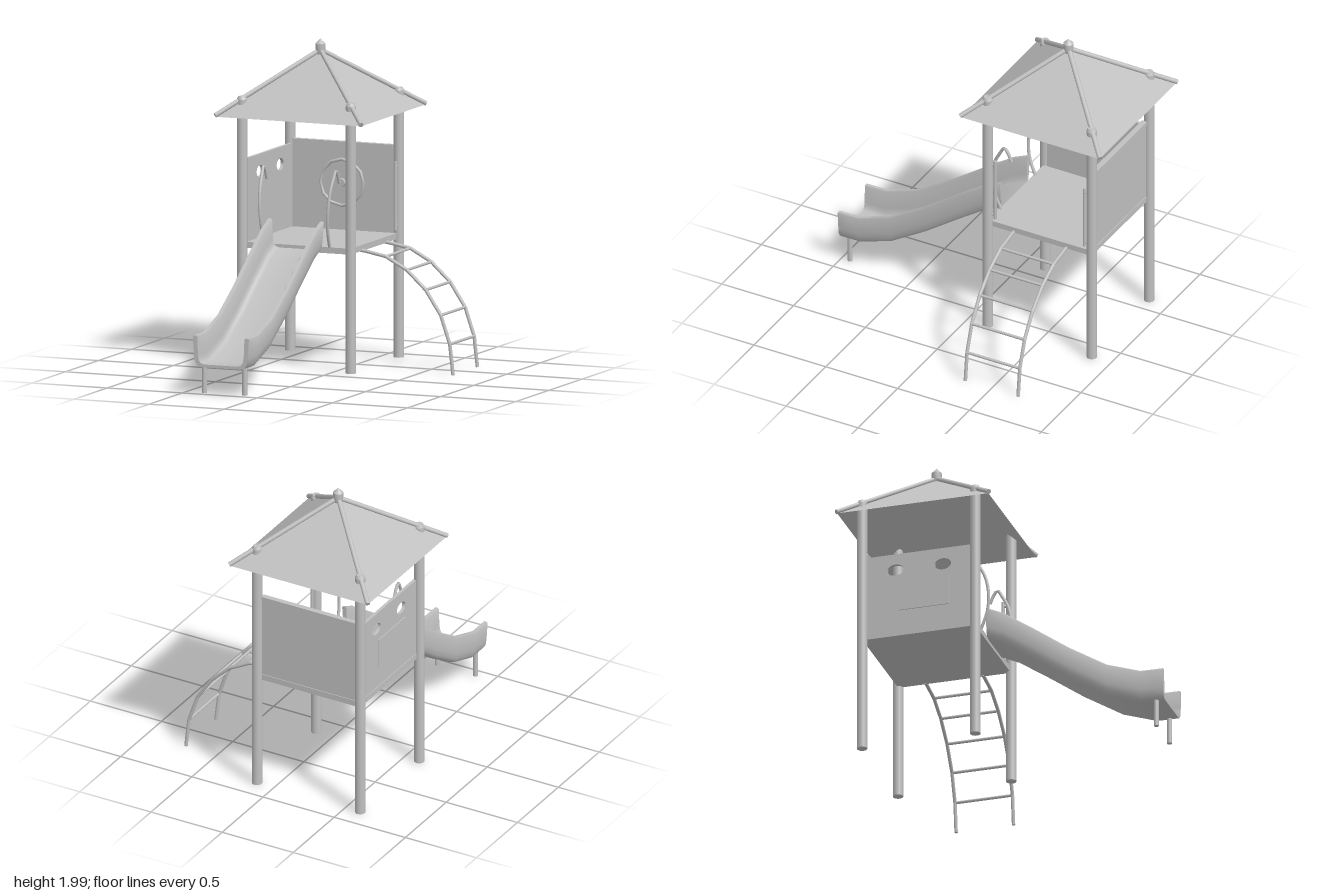
import * as THREE from 'three';
import { toCreasedNormals } from 'three/addons/utils/BufferGeometryUtils.js';

const V = (x, y, z) => new THREE.Vector3(x, y, z);

export function createModel() {
  const model = new THREE.Group();
  model.name = 'playTower';
  const grey = new THREE.MeshStandardMaterial({ color: 0xc0c0c0 });
  grey.name = 'paleGrey';
  const greySheet = grey.clone();
  greySheet.name = 'paleGreySheet';
  greySheet.side = THREE.DoubleSide;

  const CX = -0.243, CZ = -0.503, POST = 0.362;

  function add(name, geometry, x = 0, y = 0, z = 0, material = grey) {
    const mesh = new THREE.Mesh(geometry, material);
    mesh.name = name;
    mesh.position.set(x, y, z);
    model.add(mesh);
    return mesh;
  }
  const box = (name, w, h, d, x, y, z) => add(name, new THREE.BoxGeometry(w, h, d), x, y, z);

  // Round bar between two points
  function bar(name, a, b, r, sides = 10) {
    const dir = b.clone().sub(a);
    const mid = a.clone().add(b).multiplyScalar(0.5);
    const mesh = add(name, new THREE.CylinderGeometry(r, r, dir.length(), sides), mid.x, mid.y, mid.z);
    mesh.quaternion.setFromUnitVectors(V(0, 1, 0), dir.normalize());
    return mesh;
  }

  // Four posts and the hip poles of the roof
  const EAVE = 1.545, APEX = 1.915, HALF = 0.483;
  for (const sx of [-1, 1]) for (const sz of [-1, 1]) {
    const x = CX + sx * POST, z = CZ + sz * POST;
    bar('post', V(x, 0, z), V(x, 1.645, z), 0.032, 20);
    add('postCap', new THREE.CylinderGeometry(0.024, 0.032, 0.018, 20), x, 1.654, z);
    bar('roofHipPole', V(CX + sx * (HALF + 0.004), EAVE + 0.009, CZ + sz * (HALF + 0.004)),
      V(CX, APEX + 0.008, CZ), 0.015);
  }

  // Pyramid roof, open underneath
  const roof = new THREE.ConeGeometry(HALF * Math.SQRT2, APEX - EAVE, 4, 1, true, Math.PI / 4).toNonIndexed();
  roof.computeVertexNormals();
  add('roof', roof, CX, (APEX + EAVE) / 2, CZ, greySheet);

  // Finial
  const finial = [[0, 1.895], [0.026, 1.895], [0.031, 1.925], [0.031, 1.96], [0.012, 1.978], [0, 1.992]]
    .map(([r, y]) => new THREE.Vector2(r, y));
  add('finial', toCreasedNormals(new THREE.LatheGeometry(finial, 16), 0.5), CX, 0, CZ);

  // Deck
  box('deck', 0.72, 0.037, 0.72, CX, 0.748, CZ);

  // Back wall with its top rail
  box('backWall', 0.67, 0.52, 0.02, CX, 1.026, CZ - 0.345);
  box('backWallRail', 0.67, 0.025, 0.035, CX, 1.298, CZ - 0.345);

  // Side wall with two oval peepholes; shape x runs towards the back
  const wall = new THREE.Shape([[-0.335, 0.766], [0.335, 0.766], [0.335, 1.28], [-0.335, 1.28]]
    .map(([x, y]) => new THREE.Vector2(x, y)));
  for (const s of [-1, 1]) {
    const hole = new THREE.Path();
    hole.absellipse(s * 0.151, 1.174, 0.053, 0.037, 0, Math.PI * 2, true);
    wall.holes.push(hole);
  }
  const sideWall = add('sideWall', new THREE.ExtrudeGeometry(wall,
    { depth: 0.02, bevelEnabled: false, curveSegments: 16 }), CX - 0.355, 0, CZ);
  sideWall.rotation.y = Math.PI / 2;
  box('sideWallPlate', 0.008, 0.19, 0.32, CX - 0.357, 0.995, -0.47);

  // Play wheel on the inside of the back wall
  const disc = (name, r, depth, z, sides) => {
    const d = add(name, new THREE.CylinderGeometry(r, r, depth, sides), CX, 1.06, z);
    d.rotation.x = Math.PI / 2;
  };
  disc('wheelDisc', 0.145, 0.014, -0.831, 12);
  disc('wheelHub', 0.027, 0.03, -0.815, 14);
  add('wheelRim', new THREE.TorusGeometry(0.143, 0.01, 8, 12), CX, 1.06, -0.825);

  // Curved grab handles on the slide side
  for (const s of [-1, 1]) {
    const path = [[0.215, 0.76, -0.155], [0.221, 0.88, -0.11], [0.228, 1.0, -0.1], [0.233, 1.11, -0.12],
      [0.238, 1.19, -0.16], [0.241, 1.235, -0.19], [0.241, 1.215, -0.21], [0.241, 1.15, -0.24]]
      .map(([x, y, z]) => V(CX + s * x, y, z));
    add('grabHandle', new THREE.TubeGeometry(new THREE.CatmullRomCurve3(path), 28, 0.01, 8));
  }

  // Straight grab bars on the ladder side
  for (const z of [-0.193, -0.815]) {
    bar('ladderGrabBar', V(0.119, 0.79, z), V(0.119, 1.21, z), 0.01);
    for (const y of [0.82, 1.18])
      bar('grabBarBracket', V(0.119, y, z), V(0.119, y, z < CZ ? z - 0.03 : z + 0.03), 0.008, 8);
  }

  // Arched ladder
  const arch = [[0.1, 0.735], [0.15, 0.728], [0.275, 0.705], [0.415, 0.63], [0.54, 0.515],
    [0.64, 0.365], [0.7, 0.19], [0.722, 0]];
  for (const z of [-0.318, -0.685])
    for (let i = 0; i < arch.length - 1; i++) {
      bar('ladderRail', V(...arch[i], z), V(...arch[i + 1], z), 0.011);
      if (i > 0) add('ladderRailJoint', new THREE.SphereGeometry(0.011, 10, 6), ...arch[i], z);
    }
  for (const [x, y] of arch.slice(2, 7)) bar('ladderRung', V(x, y, -0.318), V(x, y, -0.685), 0.009);

  // Slide: a trough section swept along its side profile
  const half = [[0.13, 0], [0.157, 0.008], [0.172, 0.03], [0.178, 0.07], [0.187, 0.185], [0.182, 0.194],
    [0.162, 0.194], [0.157, 0.185], [0.152, 0.075], [0.146, 0.042], [0.135, 0.026], [0.11, 0.018]];
  const section = [...half, ...half.map(([x, y]) => [-x, y]).reverse()];
  const track = [[1, 0.165], [0.93, 0.165], [0.855, 0.167], [0.64, 0.24], [0.4, 0.388],
    [0.16, 0.558], [-0.02, 0.68], [-0.13, 0.73]];
  const n = section.length, pos = [], idx = [];
  for (const [z, y] of track) for (const [u, v] of section) pos.push(CX + u, y + v, z);
  for (let i = 0; i < track.length - 1; i++) for (let j = 0; j < n; j++) {
    const a = i * n + j, b = i * n + (j + 1) % n;
    idx.push(a, a + n, b, b, a + n, b + n);
  }
  const last = (track.length - 1) * n;
  const caps = THREE.ShapeUtils.triangulateShape(section.map(([x, y]) => new THREE.Vector2(x, y)), []);
  for (const [a, b, c] of caps) idx.push(a, b, c, last + a, last + c, last + b);
  const slide = new THREE.BufferGeometry();
  slide.setAttribute('position', new THREE.Float32BufferAttribute(pos, 3));
  slide.setIndex(idx);
  add('slide', toCreasedNormals(slide, 0.8), 0, 0, 0, greySheet);

  // Slide legs
  for (const s of [-1, 1])
    bar('slideLeg', V(CX + s * 0.134, 0, 0.943), V(CX + s * 0.134, 0.175, 0.943), 0.016, 12);

  return model;
}
